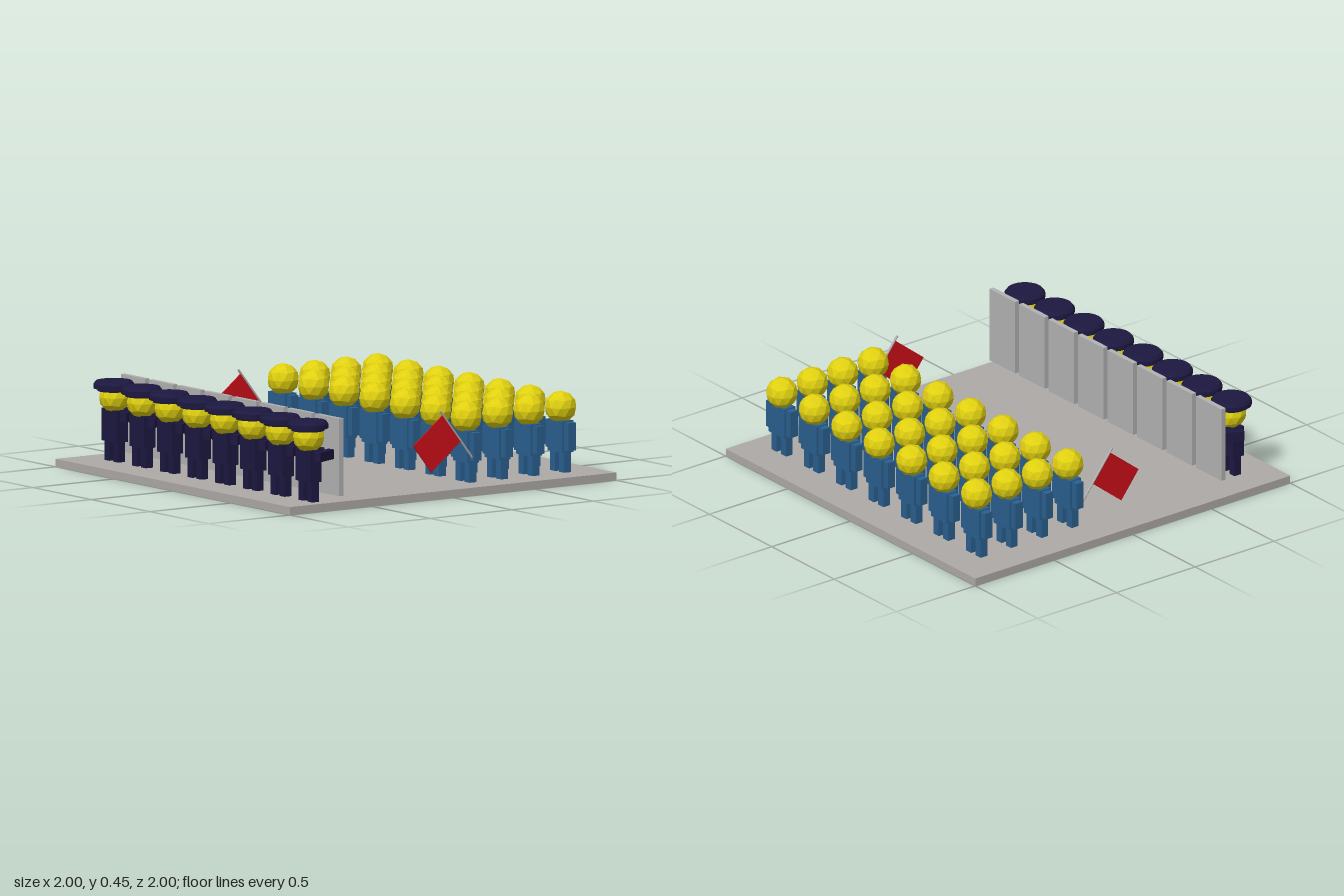
import * as THREE from 'three';

const paint = (color, extra = {}) => new THREE.MeshStandardMaterial({ color, flatShading: true, ...extra });
const yellow = paint(0xe0d010), blue = paint(0x2a5f8f), navy = paint(0x1d1840);
const stone = paint(0xaeaaa6), steel = paint(0xb2b2b2), red = paint(0xd01018);

function add(parent, name, geometry, material, x = 0, y = 0, z = 0) {
  const mesh = new THREE.Mesh(geometry, material);
  mesh.name = name;
  mesh.position.set(x, y, z);
  parent.add(mesh);
  return mesh;
}

// Shared geometries
const headGeo = new THREE.IcosahedronGeometry(0.081, 1)
  .rotateX(-Math.atan2((1 + Math.sqrt(5)) / 2, 1)); // a corner points straight up
const legGeo = new THREE.BoxGeometry(0.042, 0.11, 0.042);
const torsoGeo = new THREE.BoxGeometry(0.125, 0.16, 0.07);
const hangingArmGeo = new THREE.BoxGeometry(0.038, 0.14, 0.046);
const forwardArmGeo = new THREE.BoxGeometry(0.04, 0.048, 0.14);
const shieldGeo = new THREE.BoxGeometry(0.205, 0.39, 0.026);
const capGeo = new THREE.LatheGeometry(
  [[0, 0.395], [0.082, 0.395], [0.084, 0.408], [0.102, 0.408], [0.102, 0.43],
    [0.09, 0.445], [0, 0.445]].map(([r, y]) => new THREE.Vector2(r, y)), 28);

// Head, torso and legs, common to everybody
function figure(name, cloth) {
  const g = new THREE.Group();
  g.name = name;
  add(g, 'head', headGeo, yellow, 0, 0.364, 0);
  add(g, 'torso', torsoGeo, cloth, 0, 0.22, 0);
  for (const s of [-1, 1]) add(g, 'leg', legGeo, cloth, s * 0.038, 0.09, 0);
  return g;
}

function protester() {
  const g = figure('protester', blue);
  for (const s of [-1, 1]) add(g, 'arm', hangingArmGeo, blue, s * 0.079, 0.224, 0);
  return g;
}

// Officer looks towards -z, both arms converging on the shield
function officer() {
  const g = figure('officer', navy);
  add(g, 'cap', capGeo, navy, 0, 0, 0.005);
  for (const s of [-1, 1]) {
    const arm = add(g, 'arm', forwardArmGeo, navy, s * 0.062, 0.271, -0.052);
    arm.rotation.y = s * Math.atan2(0.05, 0.115);
  }
  add(g, 'shield', shieldGeo, steel, -0.003, 0.26, -0.128);
  return g;
}

// Pole leaning forward with a square-cornered banner hanging from it
function flag(x) {
  const g = new THREE.Group();
  g.name = 'flag';
  add(g, 'pole', new THREE.CylinderGeometry(0.006, 0.006, 0.325, 8), steel, 0, 0.163, 0);
  add(g, 'banner', new THREE.BoxGeometry(0.006, 0.178, 0.228), red, 0, 0.21, 0.117);
  g.position.set(x, 0.165, -0.207);
  g.rotation.x = Math.atan2(0.2, 0.255);
  return g;
}

export function createModel() {
  const model = new THREE.Group();
  model.name = 'demonstration';
  add(model, 'base', new THREE.BoxGeometry(2, 0.04, 2), stone, 0, 0.02, 0);

  // Crowd of four rows of seven
  const crowd = new THREE.Group();
  crowd.name = 'crowd';
  for (let row = 0; row < 4; row++) {
    for (let col = 0; col < 7; col++) {
      const p = protester();
      p.position.set(-0.762 + col * 0.26, 0, -0.803 + row * 0.193);
      crowd.add(p);
    }
  }
  crowd.add(flag(-0.843), flag(0.88));
  model.add(crowd);

  // Line of eight officers
  const line = new THREE.Group();
  line.name = 'officerLine';
  for (let i = 0; i < 8; i++) {
    const o = officer();
    o.position.set(-0.774 + i * 0.2364, 0, 0.8);
    line.add(o);
  }
  model.add(line);
  return model;
}
